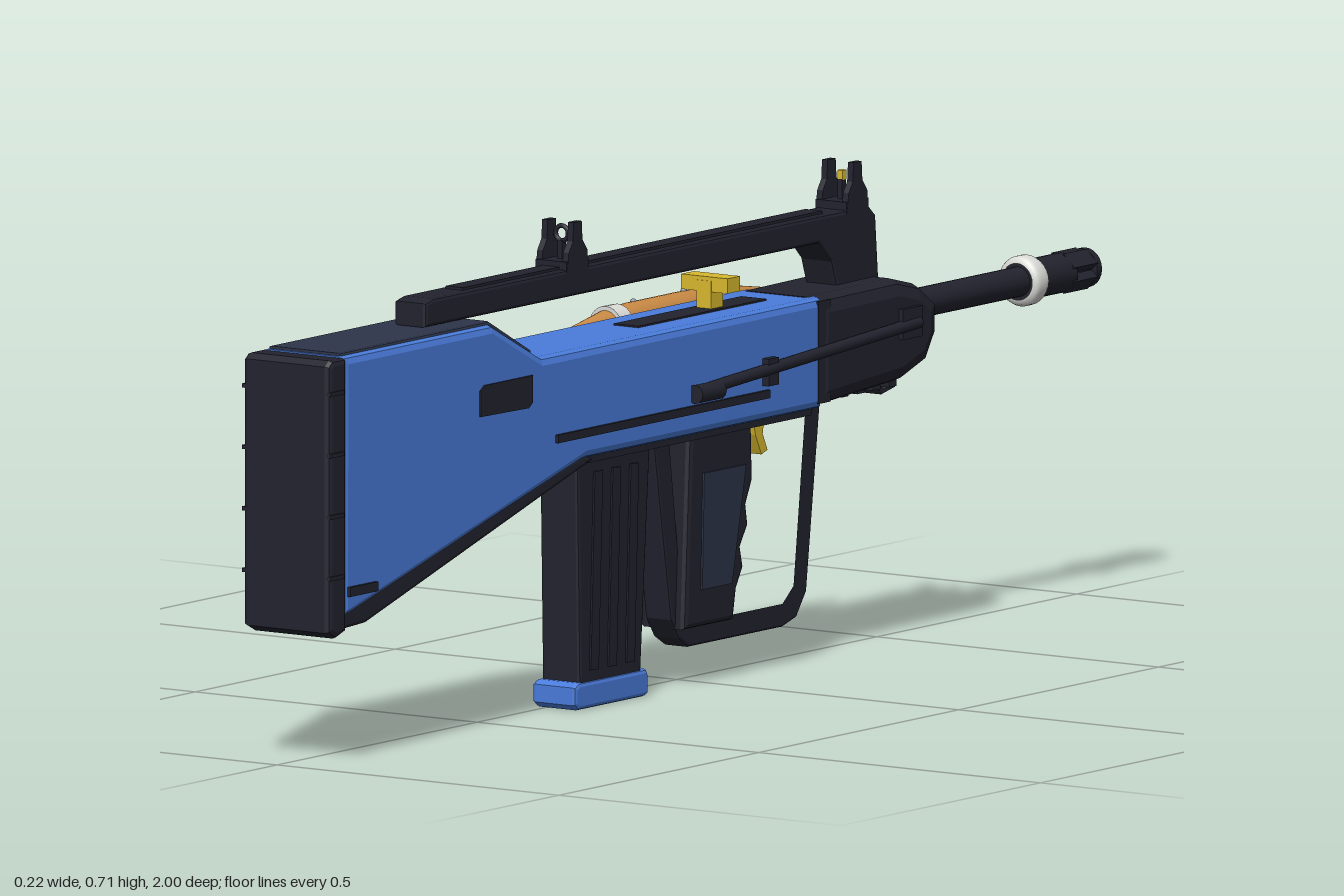
import * as THREE from 'three';

const CX = 0.016; // centre plane of the rifle

export function createModel() {
  const root = new THREE.Group();
  root.name = 'rifle';
  const mat = (name, color) => {
    const m = new THREE.MeshStandardMaterial({ color });
    m.name = name;
    return m;
  };
  const black = mat('gunBlack', 0x22232e);
  const blue = mat('bodyBlue', 0x4a7cdb);
  const slate = mat('gripSlate', 0x2d3549);
  const yellow = mat('brassYellow', 0xd9b92f);
  const orange = mat('copperOrange', 0xc98a45);
  const white = mat('ringWhite', 0xdcdcd8);
  const grey = mat('studGrey', 0x8d95a3);

  const add = (name, geo, material, x = 0, y = 0, z = 0) => {
    const m = new THREE.Mesh(geo, material);
    m.name = name;
    m.position.set(x, y, z);
    root.add(m);
    return m;
  };
  const box = (name, material, w, h, d, x, y, z) =>
    add(name, new THREE.BoxGeometry(w, h, d), material, x, y, z);

  // Side profile given as [z, y] points, extruded across x and bevelled inward
  const slab = (name, material, pts, width, bevel = 0, x = CX, hole = null) => {
    const shape = new THREE.Shape(pts.map(p => new THREE.Vector2(p[0], p[1])));
    if (hole) shape.holes.push(new THREE.Path(hole.map(p => new THREE.Vector2(p[0], p[1]))));
    const depth = width - 2 * bevel;
    const g = new THREE.ExtrudeGeometry(shape, {
      depth, bevelEnabled: bevel > 0, bevelThickness: bevel, bevelSize: bevel,
      bevelOffset: -bevel, bevelSegments: 2,
    });
    g.translate(0, 0, -depth / 2);
    g.rotateY(-Math.PI / 2);
    return add(name, g, material, x);
  };
  // Cylinder between two z positions
  const rod = (name, material, r0, r1, z0, z1, x, y, n = 24, open = false) => {
    const g = new THREE.CylinderGeometry(r1, r0, Math.abs(z1 - z0), n, 1, open);
    g.rotateX(z1 > z0 ? Math.PI / 2 : -Math.PI / 2);
    return add(name, g, material, x, y, (z0 + z1) / 2);
  };

  // Receiver and stock
  slab('body', blue, [[0.96, 0.6], [0.585, 0.6], [0.46, 0.537], [-0.24, 0.537], [-0.24, 0.375],
    [0.35, 0.375], [0.96, 0.215]], 0.148, 0.012);
  slab('stockUnderside', black, [[0.965, 0.23], [0.36, 0.382], [0.33, 0.372], [0.36, 0.362],
    [0.9, 0.203], [0.965, 0.2]], 0.144, 0.006);
  slab('cheekPad', slate, [[0.955, 0.604], [0.58, 0.604], [0.475, 0.549], [0.475, 0.53],
    [0.59, 0.58], [0.955, 0.58]], 0.126, 0.004);
  box('receiverUnderside', black, 0.12, 0.014, 0.56, CX, 0.372, 0.05);

  // Butt pad with raised ribs
  slab('buttPad', black, [[1.0, 0.59], [0.99, 0.598], [0.955, 0.598], [0.955, 0.198], [0.98, 0.19],
    [1.0, 0.2]], 0.153, 0.008);
  for (const y of [0.28, 0.37, 0.46, 0.55]) box('buttPadRib', black, 0.158, 0.006, 0.034, CX, y, 0.982);

  // Handguard, with ribs underneath and a small hook
  slab('handguard', black, [[-0.225, 0.538], [-0.43, 0.54], [-0.49, 0.525], [-0.53, 0.495],
    [-0.53, 0.45], [-0.505, 0.41], [-0.44, 0.388], [-0.225, 0.375]], 0.154, 0.024);
  box('handguardBand', black, 0.15, 0.15, 0.03, CX, 0.458, -0.241);
  for (let i = 0; i < 5; i++) box('handguardRib', black, 0.11, 0.016, 0.018, CX, 0.388, -0.28 - i * 0.04);
  slab('hook', black, [[-0.44, 0.395], [-0.46, 0.363], [-0.495, 0.37], [-0.51, 0.41]], 0.04, 0, CX,
    [[-0.455, 0.393], [-0.466, 0.372], [-0.49, 0.377], [-0.5, 0.4]]);

  // Carry handle
  slab('carryHandle', black, [[0.69, 0.605], [0.69, 0.64], [0.67, 0.645], [-0.42, 0.645], [-0.437, 0.63],
    [-0.445, 0.53], [-0.34, 0.53], [-0.325, 0.575], [-0.295, 0.605]], 0.056, 0.005);
  box('handleRib', black, 0.03, 0.008, 0.9, CX, 0.645, 0.13);

  // Iron sights: two tapered ears each, ring at the rear, post at the front
  for (const z of [0.31, -0.39]) {
    box('sightBase', black, 0.055, 0.018, 0.055, CX, 0.648, z);
    for (const s of [-1, 1]) {
      slab('sightEar', black, [[z + 0.027, 0.64], [z + 0.022, 0.67], [z + 0.012, 0.685], [z + 0.01, 0.713],
        [z - 0.01, 0.713], [z - 0.012, 0.685], [z - 0.024, 0.67], [z - 0.027, 0.64]], 0.01, 0, CX + s * 0.023);
    }
  }
  add('rearSightRing', new THREE.TorusGeometry(0.011, 0.0035, 10, 24), black, CX, 0.694, 0.31);
  box('rearSightPost', black, 0.008, 0.032, 0.01, CX, 0.668, 0.31);
  box('frontSightPost', black, 0.008, 0.036, 0.01, CX, 0.668, -0.39);
  box('frontSightBead', yellow, 0.009, 0.014, 0.01, CX, 0.692, -0.39);

  // Charging slot and handle
  box('chargingSlot', black, 0.044, 0.005, 0.32, CX, 0.537, -0.01);
  box('chargingStem', yellow, 0.026, 0.05, 0.03, CX, 0.555, -0.06);
  box('chargingHandle', yellow, 0.082, 0.022, 0.032, CX, 0.575, -0.062);

  // Barrel, white ring and slotted muzzle
  rod('barrelCollar', black, 0.036, 0.03, -0.51, -0.55, CX, 0.48);
  rod('barrel', black, 0.022, 0.022, -0.5, -0.93, CX, 0.48);
  rod('muzzleBase', black, 0.029, 0.029, -0.83, -0.94, CX, 0.48);
  rod('muzzleTip', black, 0.029, 0.029, -0.988, -1, CX, 0.48);
  for (let i = 0; i < 4; i++) {
    const a = (i + 0.5) * Math.PI / 2;
    const p = box('muzzleProng', black, 0.027, 0.014, 0.06, CX + Math.cos(a) * 0.021, 0.48 + Math.sin(a) * 0.021, -0.96);
    p.rotation.z = a + Math.PI / 2;
  }
  const ring = new THREE.LatheGeometry([[0.027, -0.017], [0.034, -0.015], [0.037, -0.008], [0.037, 0.008],
    [0.034, 0.015], [0.027, 0.017]].map(p => new THREE.Vector2(...p)), 28).rotateX(Math.PI / 2);
  add('muzzleRing', ring, white, CX, 0.48, -0.845);

  // Folded legs, side rails and stock windows
  for (const s of [-1, 1]) {
    const leg = rod('foldedLeg', black, 0.009, 0.009, -0.47, 0.08, CX + s * 0.08, 0.457, 12);
    leg.rotation.x = 0.06;
    rod('legFoot', black, 0.014, 0.014, 0.03, 0.09, CX + s * 0.08, 0.437, 12);
    box('legPivot', black, 0.02, 0.045, 0.05, CX + s * 0.074, 0.475, -0.45);
    box('legClip', black, 0.016, 0.04, 0.025, CX + s * 0.077, 0.447, -0.1);
    box('sideRail', black, 0.008, 0.012, 0.53, CX + s * 0.075, 0.414, 0.165);
    box('buttCatch', black, 0.008, 0.014, 0.07, CX + s * 0.075, 0.255, 0.915);
  }
  slab('stockWindow', black, [[0.62, 0.47], [0.62, 0.508], [0.61, 0.515], [0.49, 0.515], [0.49, 0.475],
    [0.5, 0.468]], 0.009, 0, 0.088);
  slab('ejectionCover', black, [[0.64, 0.465], [0.64, 0.53], [0.47, 0.53], [0.47, 0.465]], 0.009, 0, -0.06);

  // Brass deflector on the left-hand face
  slab('deflector', yellow, [[0.32, 0.505], [0.32, 0.445], [0.17, 0.45], [0.2, 0.485]], 0.009, 0, -0.061);

  // Sling loop
  slab('slingLoop', black, [[0.815, 0.265], [0.815, 0.32], [0.825, 0.32], [0.825, 0.265]], 0.006, 0, -0.078);
  for (const y of [0.27, 0.315]) box('slingLoopArm', black, 0.026, 0.007, 0.01, -0.067, y, 0.82);

  // Magazine
  slab('magazine', black, [[0.325, 0.385], [0.14, 0.385], [0.165, 0.03], [0.318, 0.03]], 0.068, 0.005, 0.02);
  for (const s of [-1, 1]) for (const z of [0.19, 0.235, 0.28]) {
    const rib = box('magazineRib', black, 0.006, 0.29, 0.02, 0.02 + s * 0.034, 0.2, z);
    rib.rotation.x = -0.035;
  }
  slab('magazineBase', blue, [[0.335, 0.008], [0.335, 0.034], [0.325, 0.04], [0.155, 0.04], [0.15, 0.03],
    [0.15, 0.004], [0.16, 0], [0.325, 0]], 0.077, 0.006, 0.019);

  // Pistol grip with finger grooves, and large hand guard
  slab('grip', black, [[0.05, 0.38], [0.065, 0.085], [-0.06, 0.085], [-0.068, 0.13], [-0.085, 0.16], [-0.078, 0.19],
    [-0.097, 0.22], [-0.092, 0.25], [-0.108, 0.285], [-0.105, 0.38]], 0.08, 0.008, 0.02);
  for (const s of [-1, 1])
    slab('gripPanel', slate, [[0.02, 0.31], [0.025, 0.14], [-0.05, 0.14], [-0.085, 0.31]], 0.006, 0, 0.02 + s * 0.04);
  slab('handGuardLoop', black, [[0.12, 0.38], [0.075, 0.1], [0.055, 0.07], [0.03, 0.055], [-0.205, 0.055],
    [-0.24, 0.065], [-0.265, 0.1], [-0.3, 0.38]], 0.046, 0.004, 0.02,
  [[0.085, 0.372], [0.05, 0.1], [0.03, 0.085], [-0.205, 0.085], [-0.235, 0.11], [-0.265, 0.372]]);
  slab('trigger', yellow, [[-0.15, 0.38], [-0.16, 0.34], [-0.175, 0.31], [-0.19, 0.315], [-0.178, 0.34],
    [-0.185, 0.38]], 0.02, 0, CX);

  // Pointed copper charm strapped to the side, with rings and studs
  const BX = -0.086, BY = 0.517;
  const charm = new THREE.LatheGeometry([[0, -0.34], [0.008, -0.337], [0.017, -0.28], [0.025, -0.21], [0.027, -0.13],
    [0.027, 0], [0.024, 0.05], [0.014, 0.11], [0.005, 0.165], [0, 0.17]].map(p => new THREE.Vector2(...p)), 28);
  charm.rotateX(Math.PI / 2);
  add('charm', charm, orange, BX, BY, 0);
  for (const z of [-0.218, 0.042]) {
    rod('charmRing', white, 0.029, 0.029, z - 0.015, z + 0.015, BX, BY);
    box('charmMount', black, 0.03, 0.018, 0.022, -0.062, BY - 0.008, z);
  }
  for (let i = 0; i < 9; i++) {
    const a = Math.PI * (0.55 + (i % 3) * 0.3), z = -0.27 + i * 0.042;
    const r = z < -0.2 ? 0.018 : z > 0.03 ? 0.022 : 0.026;
    add('charmStud', new THREE.SphereGeometry(0.005, 10, 8), grey, BX + Math.cos(a) * r, BY + Math.sin(a) * r, z);
  }
  return root;
}
